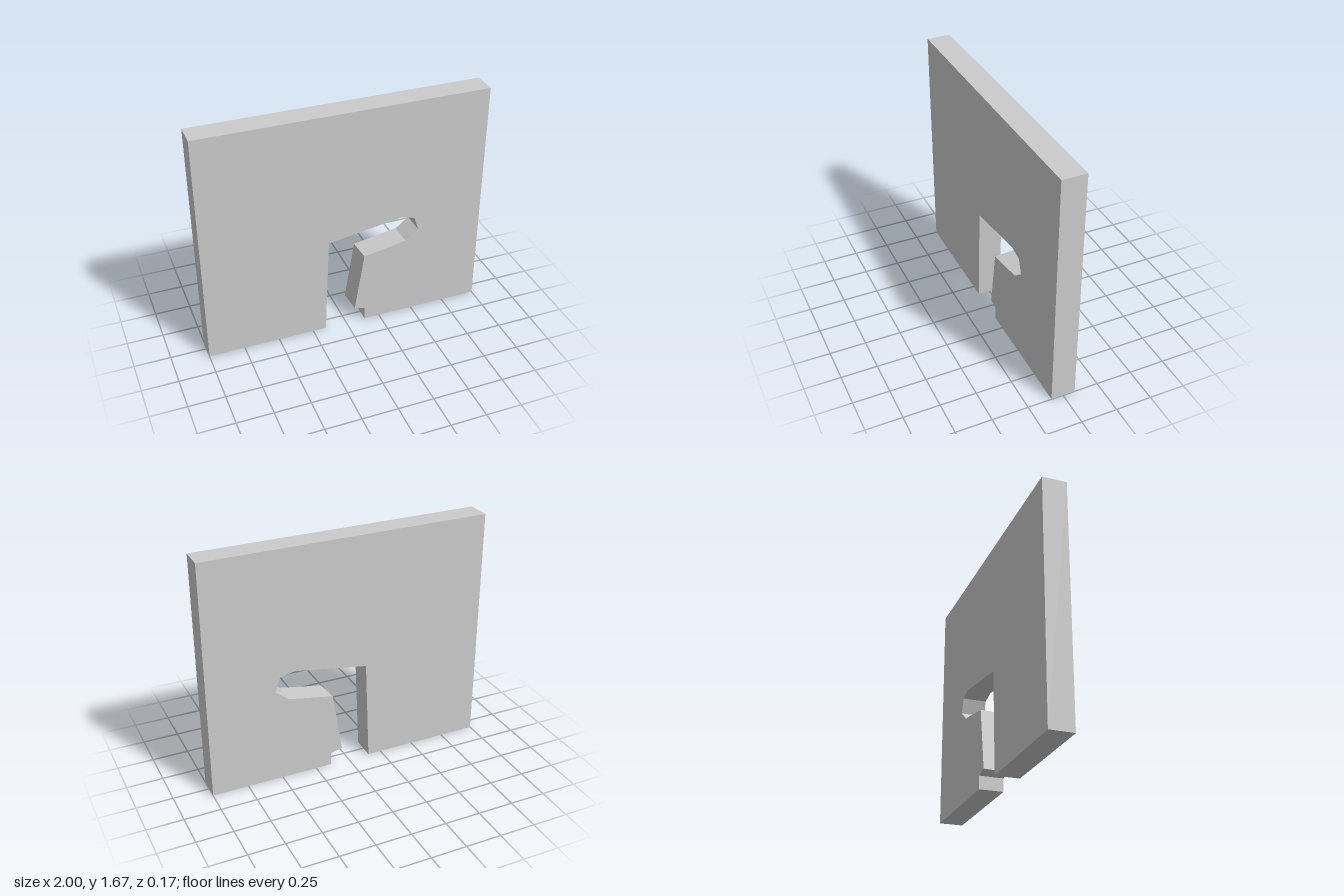
import * as THREE from 'three';

const WIDTH = 2, HEIGHT = 1.667, DEPTH = 0.167;

// Hooked slot, from the left foot around to the right foot
const SLOT = [
  [-0.155, 0], [-0.127, 0.72], [0.395, 0.803], [0.497, 0.778], [0.53, 0.676],
  [0.437, 0.602], [0.121, 0.546], [0.053, 0.112], [0.139, 0.092], [0.139, 0],
];
const BEVELLED = [SLOT[6], SLOT[7]]; // slot edge that leans back slightly
const LEAN = 0.011;

export function createModel() {
  const group = new THREE.Group();
  group.name = 'slottedPlate';

  // Outline of the plate with the slot open at the bottom
  const outline = [
    [-WIDTH / 2, 0], ...SLOT, [WIDTH / 2, 0],
    [WIDTH / 2, HEIGHT], [-WIDTH / 2, HEIGHT],
  ];
  const shape = new THREE.Shape(outline.map(([x, y]) => new THREE.Vector2(x, y)));
  const geometry = new THREE.ExtrudeGeometry(shape, { depth: DEPTH, bevelEnabled: false });
  geometry.translate(0, 0, -DEPTH / 2);

  // Shift the front corners of the leaning slot edge
  const p = geometry.attributes.position;
  for (let i = 0; i < p.count; i++) {
    const leans = BEVELLED.some(([x, y]) => Math.hypot(p.getX(i) - x, p.getY(i) - y) < 1e-4);
    if (leans && p.getZ(i) > 0) p.setX(i, p.getX(i) + LEAN);
  }
  geometry.computeVertexNormals();

  const plate = new THREE.Mesh(
    geometry,
    new THREE.MeshStandardMaterial({ color: 0xcccccc, flatShading: true }),
  );
  plate.name = 'plate';
  group.add(plate);
  return group;
}
